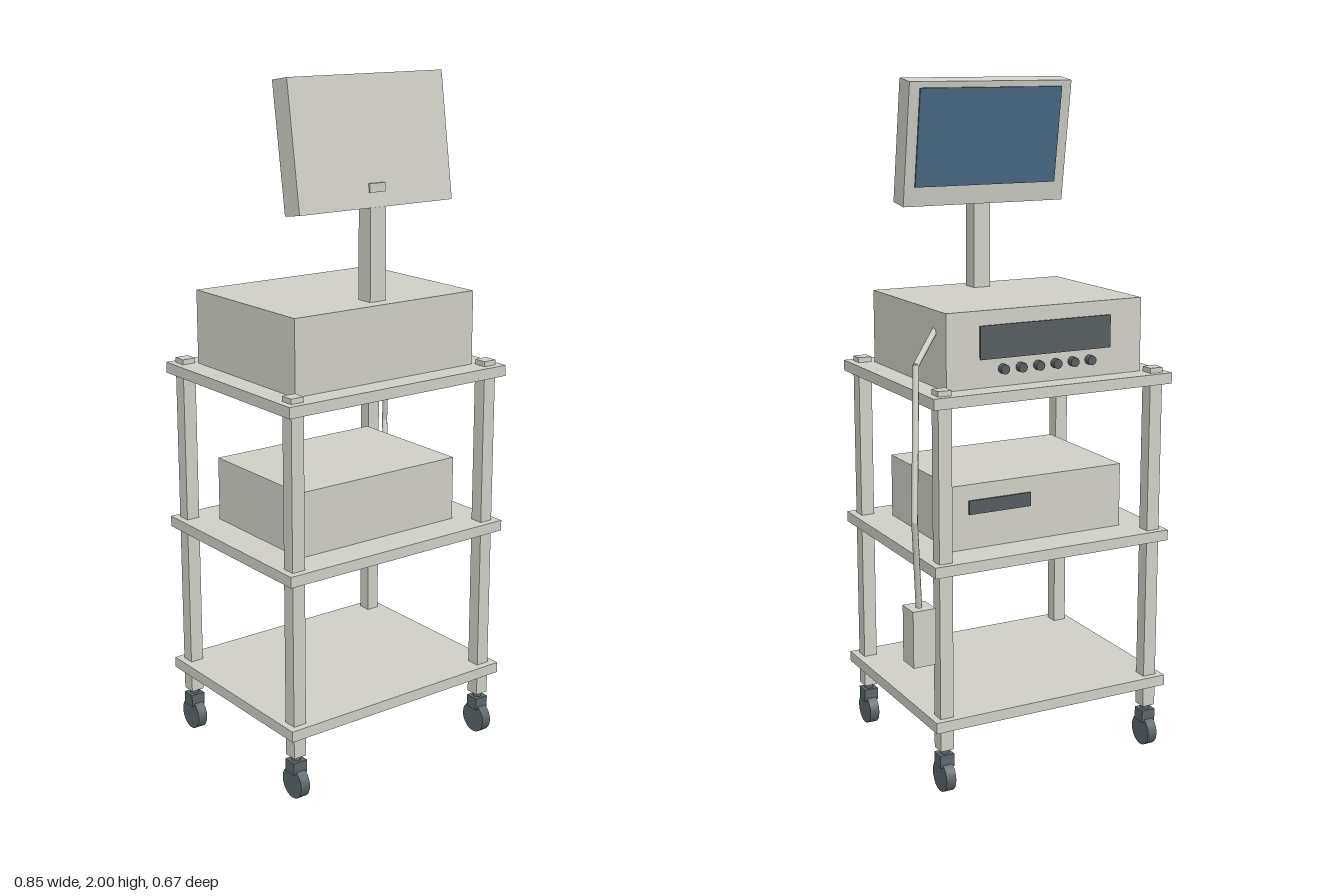
import * as THREE from 'three';

const mat = (name, color) => {
  const m = new THREE.MeshStandardMaterial({ color });
  m.name = name;
  return m;
};

export function createModel() {
  const body = mat('warmGrey', 0xd0d0c8);
  const dark = mat('darkGrey', 0x565c60);
  const caster = mat('casterGrey', 0x5c666b);
  const glass = mat('screenBlue', 0x4a6a86);
  const root = new THREE.Group();
  root.name = 'instrumentCart';

  const add = (name, geo, m, x, y, z, parent = root) => {
    const mesh = new THREE.Mesh(geo, m);
    mesh.name = name;
    mesh.position.set(x, y, z);
    parent.add(mesh);
    return mesh;
  };
  // Box given by its minimum and maximum on each axis
  const box = (name, m, [x0, x1], [y0, y1], [z0, z1], parent) =>
    add(name, new THREE.BoxGeometry(x1 - x0, y1 - y0, z1 - z0), m,
      (x0 + x1) / 2, (y0 + y1) / 2, (z0 + z1) / 2, parent);

  // Shelves
  for (const y of [0.197, 0.657, 1.133])
    box('shelf', body, [-0.428, 0.338], [y, y + 0.032], [-0.295, 0.33]);

  // Posts with casters
  for (const x of [-0.387, 0.296]) for (const z of [-0.255, 0.288]) {
    box('post', body, [x - 0.0205, x + 0.0205], [0.13, 1.18], [z - 0.0205, z + 0.0205]);
    const c = new THREE.Group();
    c.name = 'caster';
    c.position.set(x, 0, z);
    root.add(c);
    add('casterStem', new THREE.CylinderGeometry(0.013, 0.013, 0.03, 12), caster, 0, 0.118, 0, c);
    box('casterFork', caster, [-0.022, 0.022], [0.078, 0.116], [-0.021, 0.021], c);
    const wheel = add('casterWheel', new THREE.CylinderGeometry(0.046, 0.046, 0.03, 20), caster, 0, 0.046, 0, c);
    wheel.rotation.z = Math.PI / 2;
  }

  // Upper instrument with its rear panel and knobs
  box('upperInstrument', body, [-0.36, 0.268], [1.165, 1.382], [-0.228, 0.26]);
  box('upperPanel', dark, [-0.255, 0.165], [1.245, 1.34], [-0.233, -0.227]);
  for (let i = 0; i < 6; i++) {
    const knob = add('knob', new THREE.CylinderGeometry(0.014, 0.014, 0.02, 12), dark,
      -0.186 + i * 0.056, 1.215, -0.238);
    knob.rotation.x = Math.PI / 2;
  }

  // Lower instrument with its small panel
  box('lowerInstrument', body, [-0.325, 0.232], [0.689, 0.88], [-0.186, 0.228]);
  box('lowerPanel', dark, [-0.02, 0.18], [0.792, 0.833], [-0.192, -0.185]);

  // Monitor stand and tilted monitor
  box('monitorPole', body, [-0.073, -0.019], [1.38, 1.645], [0.164, 0.217]);
  box('monitorBracket', body, [-0.073, -0.019], [1.685, 1.71], [0.15, 0.214]);
  const monitor = new THREE.Group();
  monitor.name = 'monitor';
  monitor.position.set(-0.046, 1.817, 0.156);
  monitor.rotation.x = -0.15;
  root.add(monitor);
  add('monitorCase', new THREE.BoxGeometry(0.528, 0.36, 0.068), body, 0, 0, 0, monitor);
  add('screen', new THREE.BoxGeometry(0.462, 0.285, 0.008), glass, 0, 0.02, -0.035, monitor);

  // Probe cable in straight runs, ending at a hanging probe
  const pts = [[0.262, 1.325, -0.148], [0.376, 1.255, -0.264], [0.415, 0.84, -0.328], [0.373, 0.56, -0.26]]
    .map(p => new THREE.Vector3(...p));
  for (let i = 0; i < 3; i++) {
    const d = pts[i + 1].clone().sub(pts[i]);
    const geo = new THREE.CylinderGeometry(0.009, 0.009, d.length() + 0.004, 8);
    const run = add('cable', geo, body, ...pts[i].clone().addScaledVector(d, 0.5).toArray());
    run.quaternion.setFromUnitVectors(new THREE.Vector3(0, 1, 0), d.normalize());
  }
  box('probe', body, [0.338, 0.407], [0.407, 0.572], [-0.294, -0.225]);

  return root;
}
